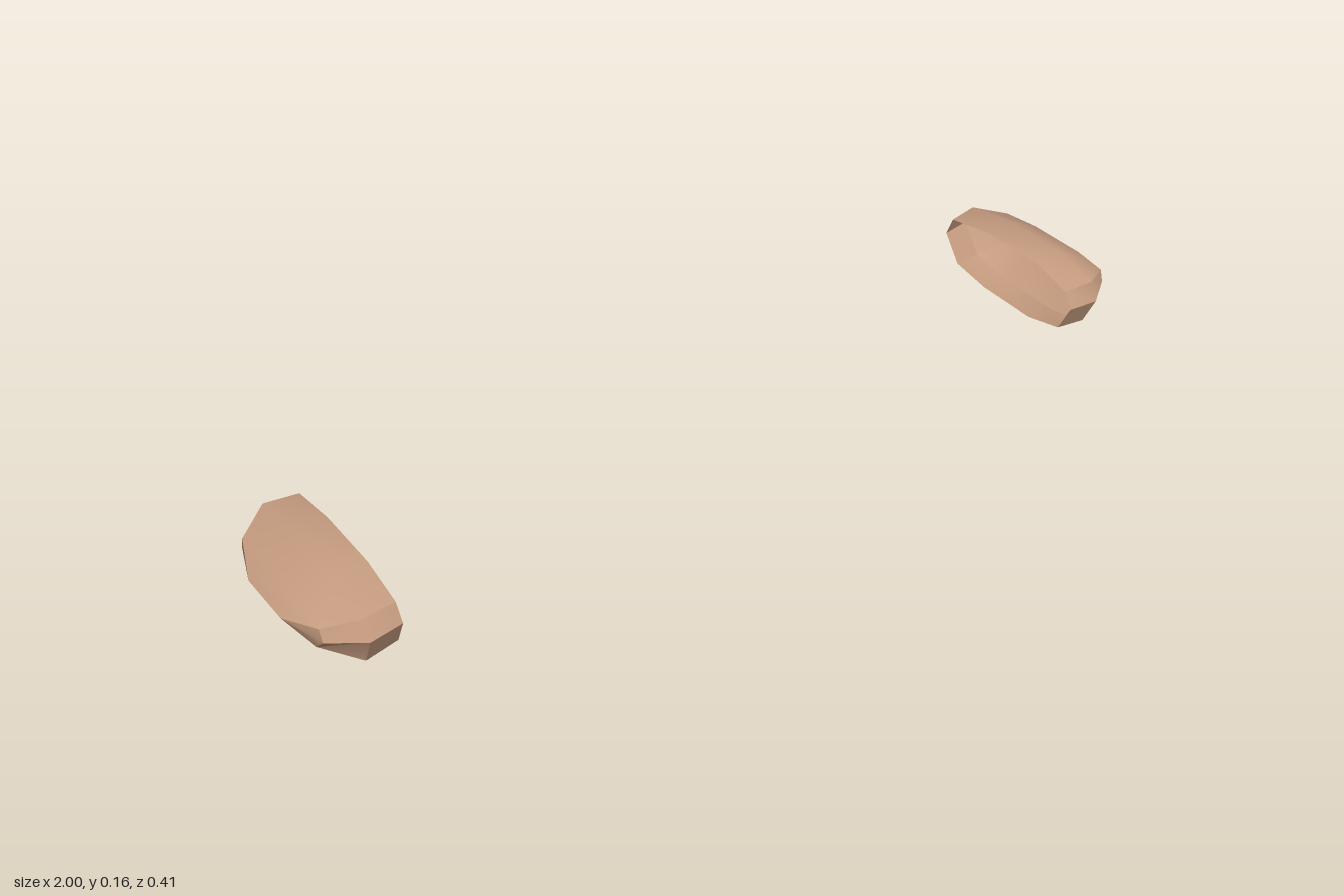
import * as THREE from 'three';
import { toCreasedNormals } from 'three/addons/utils/BufferGeometryUtils.js';

// Cross-sections as [z, y], running from the front over the top to the back and underneath
const WIDE = [[0.208, 0.085], [0.188, 0.125], [0.09, 0.155], [-0.065, 0.16], [-0.188, 0.14],
  [-0.206, 0.093], [-0.16, 0.027], [-0.065, 0.007], [0.085, 0], [0.178, 0.02]];
const NARROW = [[0.163, 0.088], [0.155, 0.115], [0.085, 0.127], [-0.05, 0.13], [-0.14, 0.122],
  [-0.15, 0.095], [-0.12, 0.06], [-0.05, 0.053], [0.07, 0.052], [0.13, 0.055]];
// Outer ridge that closes the shell
const RIDGE = [0.07, 0.07, 0.07, -0.055, -0.055, -0.055, -0.055, -0.055, 0.07, 0.07].map((z) => [z, 0.097]);

// Hollow shell, open towards the middle; side is +1 (left) or -1 (right)
function shellGeometry(side) {
  const rim = WIDE.map(([z, y]) => [z * 0.955, 0.082 + (y - 0.082) * 0.93]);
  const rings = [[0.83, rim], [0.9, WIDE], [0.967, NARROW], [1, RIDGE]];
  const n = WIDE.length;
  const positions = [];
  const index = [];
  rings.forEach(([x, ring]) => ring.forEach(([z, y]) => positions.push(side * x, y, z)));
  for (let s = 0; s < rings.length - 1; s++) {
    for (let i = 0; i < n; i++) {
      const a = s * n + i, c = s * n + (i + 1) % n;
      const b = a + n, d = c + n;
      const tris = s === 2 && RIDGE[i][0] === RIDGE[(i + 1) % n][0]
        ? [[a, b, c]] : [[a, b, c], [c, b, d]];
      tris.forEach(([p, q, r]) => index.push(...(side > 0 ? [p, q, r] : [p, r, q])));
    }
  }
  const geometry = new THREE.BufferGeometry();
  geometry.setAttribute('position', new THREE.Float32BufferAttribute(positions, 3));
  geometry.setIndex(index);
  return toCreasedNormals(geometry, THREE.MathUtils.degToRad(38));
}

export function createModel() {
  const group = new THREE.Group();
  const tan = new THREE.MeshStandardMaterial({ color: 0xc69c80, side: THREE.DoubleSide });
  tan.name = 'tan';
  for (const [side, name] of [[1, 'leftShell'], [-1, 'rightShell']]) {
    const shell = new THREE.Mesh(shellGeometry(side), tan);
    shell.name = name;
    group.add(shell);
  }
  return group;
}
